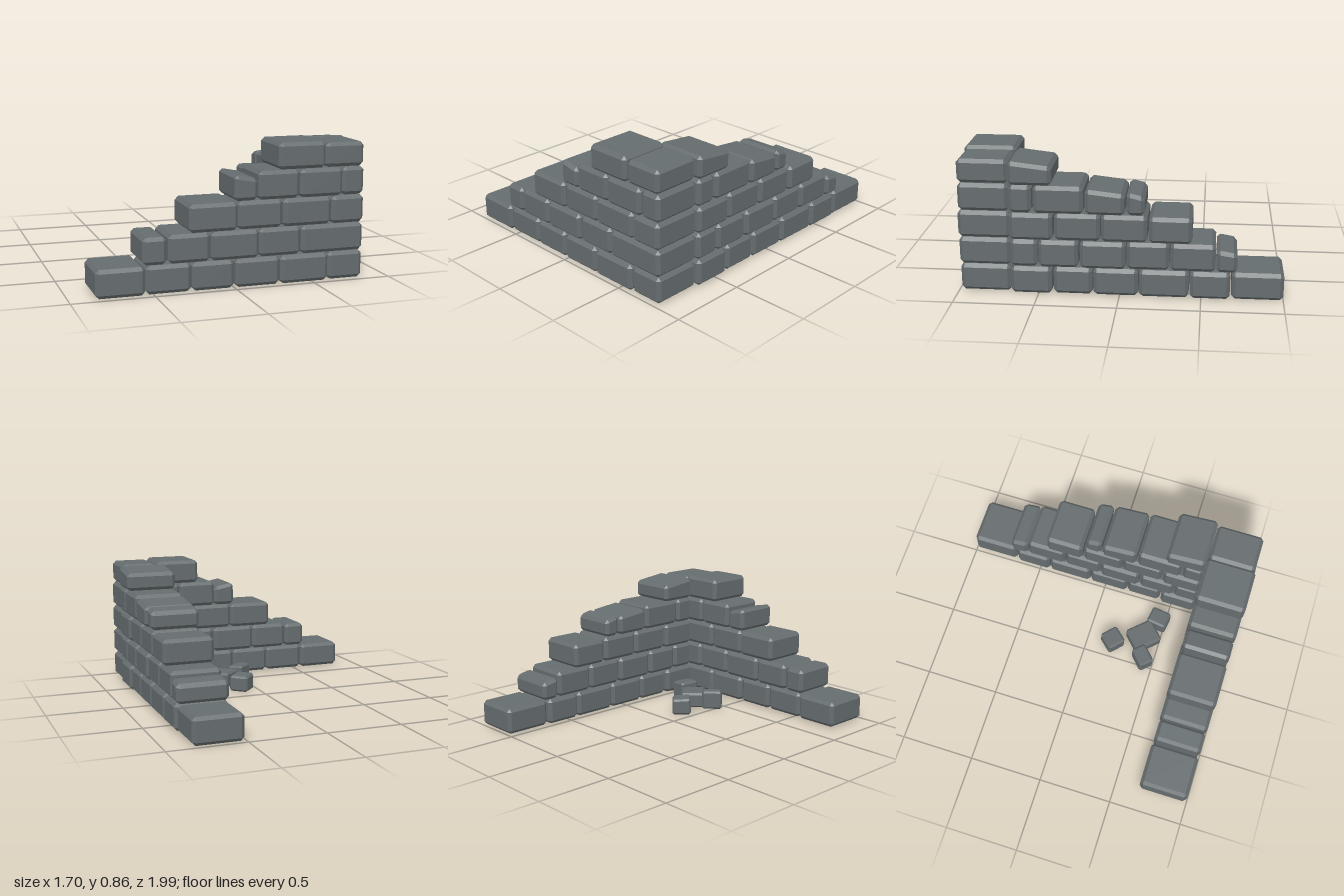
import * as THREE from 'three';
import { ConvexGeometry } from 'three/addons/geometries/ConvexGeometry.js';

const stone = new THREE.MeshStandardMaterial({ color: 0x666d6f });
stone.name = 'grey stone';

// Box with chamfered edges; the top falls by "drop" from the low end to the high end of one axis
function stoneBlock(name, min, max, bevel = 0.022, drop = 0, axis = 'x') {
  const lo = new THREE.Vector3(...min), hi = new THREE.Vector3(...max);
  const mid = lo.clone().add(hi).multiplyScalar(0.5);
  const half = hi.clone().sub(lo).multiplyScalar(0.5);
  const points = [];
  for (const sx of [-1, 1]) for (const sy of [-1, 1]) for (const sz of [-1, 1]) {
    for (let full = 0; full < 3; full++) {
      const p = new THREE.Vector3(
        sx * (half.x - (full === 0 ? 0 : bevel)),
        sy * (half.y - (full === 1 ? 0 : bevel)),
        sz * (half.z - (full === 2 ? 0 : bevel)));
      if (sy > 0) {
        const t = 0.5 + p[axis] / (2 * half[axis]);
        p.y -= drop > 0 ? drop * t : -drop * (1 - t);
      }
      points.push(p);
    }
  }
  const mesh = new THREE.Mesh(new ConvexGeometry(points), stone);
  mesh.name = name;
  mesh.position.copy(mid);
  return mesh;
}

// Course heights: bottom and top of each row
const courses = [[0.006, 0.178], [0.181, 0.353], [0.356, 0.525], [0.528, 0.7], [0.703, 0.863]];

// Each stone: [start, end, optional change of top height, optional slant]
const frontRows = [
  [[-0.85, -0.555], [-0.55, -0.275], [-0.27, -0.01], [0, 0.28], [0.285, 0.595], [0.6, 0.825]],
  [[-0.57, -0.425, -0.008], [-0.415, -0.16], [-0.155, 0.145], [0.15, 0.415], [0.42, 0.825]],
  [[-0.29, 0.01], [0.015, 0.295], [0.3, 0.61], [0.615, 0.825]],
  [[-0.01, 0.135, -0.015, 0.028], [0.14, 0.4], [0.405, 0.68], [0.685, 0.825]],
  [[0.265, 0.565], [0.57, 0.82, -0.012]],
];
const sideRows = [
  [[0.415, 0.668], [0.165, 0.405], [-0.115, 0.16], [-0.425, -0.12], [-0.675, -0.43], [-1, -0.685]],
  [[0.5, 0.668], [0.25, 0.495], [-0.04, 0.24], [-0.305, -0.045], [-0.585, -0.31], [-0.715, -0.59, -0.03, -0.022]],
  [[0.405, 0.668], [0.115, 0.395], [-0.17, 0.11], [-0.44, -0.18, -0.005]],
  [[0.53, 0.668], [0.215, 0.52], [-0.035, 0.205, -0.014, -0.026], [-0.155, -0.045, -0.03, -0.026]],
  [[0.405, 0.668, -0.012, -0.03]],
];

function buildWall(name, rows, axis) {
  const wall = new THREE.Group();
  wall.name = name;
  rows.forEach((row, r) => row.forEach(([a, b, rise = 0, slant = 0], i) => {
    const [y0, y1] = courses[r];
    const wobble = ((r * 2 + i * 3) % 4) * 0.003; // slightly uneven faces
    const min = axis === 'x' ? [a, y0, 0.662 + wobble] : [0.51 + wobble, y0, a];
    const max = axis === 'x' ? [b, y1 + rise, 0.993 - wobble] : [0.847 - wobble, y1 + rise, b];
    wall.add(stoneBlock(`${name}Stone`, min, max, 0.022, slant, axis));
  }));
  return wall;
}

export function createModel() {
  const model = new THREE.Group();
  model.name = 'ruinedCornerWall';
  model.add(buildWall('frontWall', frontRows, 'x'), buildWall('sideWall', sideRows, 'z'));

  // Fallen stones inside the corner: x, z, width, height, depth, turn
  const rubble = new THREE.Group();
  rubble.name = 'rubble';
  for (const [x, z, w, h, d, turn] of [
    [0.11, 0.18, 0.13, 0.115, 0.13, 0.82],
    [0.2, 0.383, 0.2, 0.105, 0.17, -0.8],
    [0.043, 0.42, 0.105, 0.13, 0.14, -0.82],
    [0.352, 0.452, 0.12, 0.13, 0.14, -0.15],
  ]) {
    const piece = stoneBlock('fallenStone', [-w / 2, 0, -d / 2], [w / 2, h, d / 2], 0.013, 0.008);
    piece.position.set(x, h / 2, z);
    piece.rotation.y = turn;
    rubble.add(piece);
  }
  model.add(rubble);
  return model;
}
